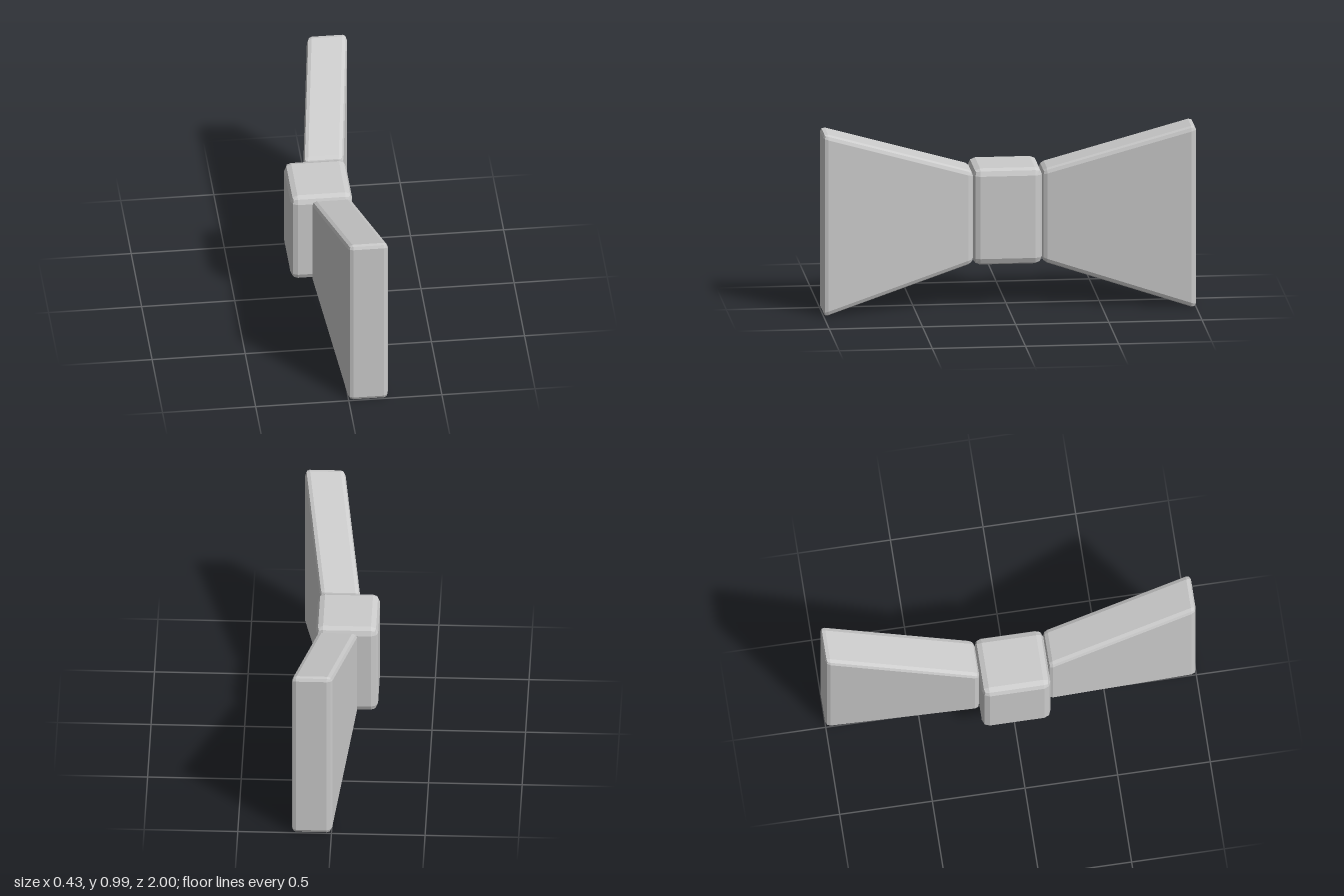
import * as THREE from 'three';
import { RoundedBoxGeometry } from 'three/addons/geometries/RoundedBoxGeometry.js';

const MID_Y = 0.506;
const INNER_Z = 0.185, OUTER_Z = 1;

// One flared wing: a bevelled slab that grows taller and leans towards +x as it runs outwards.
function wingGeometry(side) {
  const length = OUTER_Z - INNER_Z;
  const geometry = new RoundedBoxGeometry(0.216, 1, length, 1, 0.026);
  geometry.translate(0, 0, side * (INNER_Z + length / 2));
  const p = geometry.attributes.position;
  for (let i = 0; i < p.count; i++) {
    const t = (Math.abs(p.getZ(i)) - INNER_Z) / length;
    const halfHeight = THREE.MathUtils.lerp(0.252, 0.504, t);
    p.setX(i, p.getX(i) + THREE.MathUtils.lerp(-0.003, 0.108, t));
    // scale the height, keeping the bevel width
    const y = p.getY(i);
    p.setY(i, MID_Y + y + Math.sign(y) * (halfHeight - 0.5));
  }
  geometry.computeVertexNormals();
  return geometry;
}

export function createModel() {
  const group = new THREE.Group();
  group.name = 'bowTie';
  const fabric = new THREE.MeshStandardMaterial({ color: 0xcccccc });
  fabric.name = 'light grey';

  // centre knot
  const knotGeometry = new RoundedBoxGeometry(0.332, 0.528, 0.37, 1, 0.038);
  knotGeometry.computeVertexNormals();
  const knot = new THREE.Mesh(knotGeometry, fabric);
  knot.name = 'knot';
  knot.position.set(-0.052, MID_Y, 0);
  group.add(knot);

  // mirrored wings
  for (const side of [1, -1]) {
    const wing = new THREE.Mesh(wingGeometry(side), fabric);
    wing.name = side > 0 ? 'frontWing' : 'backWing';
    group.add(wing);
  }
  return group;
}
